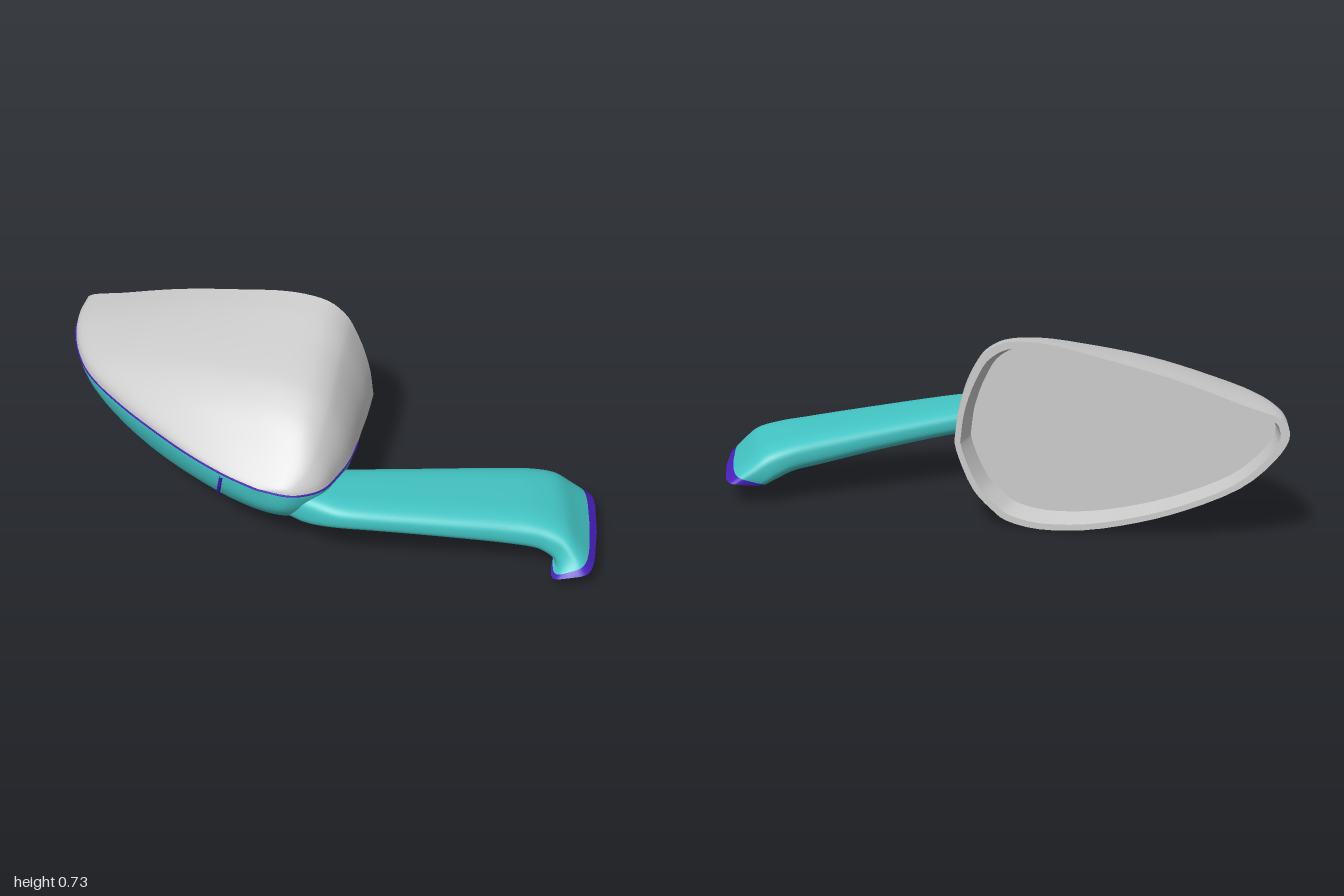
import * as THREE from 'three';
import { mergeVertices, mergeGeometries } from 'three/addons/utils/BufferGeometryUtils.js';

const V = (x, y, z = 0) => new THREE.Vector3(x, y, z);
const spline = (pts) => new THREE.CatmullRomCurve3(pts.map((p) => V(...p)));
const mat = (color) => new THREE.MeshStandardMaterial({ color, side: THREE.DoubleSide });
const GREY = mat(0xcccccc), TEAL = mat(0x43c4c4), PURPLE = mat(0x4a1fc0);

// smooth skin over rows x cols points; fn(i/rows, j/cols) returns a Vector3
function skin(rows, cols, fn) {
  const pos = [], idx = [], w = cols + 1;
  for (let i = 0; i <= rows; i++)
    for (let j = 0; j <= cols; j++) pos.push(...fn(i / rows, j / cols).toArray());
  for (let i = 0; i < rows; i++)
    for (let j = 0; j < cols; j++) {
      const a = i * w + j, b = a + w;
      idx.push(a, b, a + 1, b, b + 1, a + 1);
    }
  const g = new THREE.BufferGeometry();
  g.setAttribute('position', new THREE.Float32BufferAttribute(pos, 3));
  g.setIndex(idx);
  return smooth(g);
}
function smooth(g) {
  g.deleteAttribute('normal');
  const m = mergeVertices(g, 1e-4);
  m.computeVertexNormals();
  return m;
}

// housing frame: u runs along the opening, d is depth in front of it
const seamY = (x) => 0.345 - 0.105 * x;
const toX = (u, d) => 0.17 + 0.916 * u - 0.402 * d;
const toZ = (u, d) => -0.17 + 0.402 * u + 0.916 * d;

// opening outline as (fraction of width, height from seam), above and below the seam
const above = spline([[0, 0], [0.018, 0.12], [0.14, 0.286], [0.34, 0.557], [0.54, 0.776], [0.74, 0.965],
  [0.84, 0.985], [0.9, 0.9], [0.945, 0.69], [0.985, 0.34], [1, 0]]);
const below = spline([[1, 0], [0.99, -0.14], [0.94, -0.54], [0.886, -0.75], [0.84, -0.878], [0.74, -0.98],
  [0.6, -1], [0.44, -0.928], [0.3, -0.806], [0.14, -0.583], [0.044, -0.306], [0.004, -0.1], [0, 0]]);

// stations from opening to nose: left u, right u, depth / height above, height below
const spans = spline([[-1.244, 0, 0], [-1.225, 0.02, 0.1], [-1.187, 0.035, 0.2], [-1.113, 0.055, 0.32],
  [-1.01, 0.067, 0.43], [-0.83, 0.061, 0.54], [-0.61, 0.043, 0.64], [-0.45, 0, 0.7],
  [-0.3, -0.06, 0.74], [-0.17, -0.17, 0.757]]);
const heights = spline([[0.384, 0.36], [0.368, 0.355], [0.345, 0.342], [0.315, 0.322], [0.28, 0.3],
  [0.215, 0.262], [0.125, 0.2], [0.065, 0.145], [0.025, 0.088], [0, 0]]);

// the outline grows rounder towards the nose
function shell(outline, s, t) {
  const p = outline.getPoint(t), w = spans.getPoint(s), h = heights.getPoint(s);
  const a = THREE.MathUtils.clamp(p.x, 0, 1), round = Math.sign(p.y) * 2 * Math.sqrt(a - a * a);
  const v = THREE.MathUtils.lerp(p.y, round, 0.5 * s);
  const u = w.x + (w.y - w.x) * p.x, x = toX(u, w.z);
  return V(x, seamY(x) + v * (p.y > 0 ? h.x : h.y), toZ(u, w.z));
}
// where the lower cover starts, from the right side round to the left tip
const edge = spline([[3, 0], [2.5, 0], [2, 0], [1.8, 0], [1.5, 0]]);
const coverStart = (t) => edge.getPoint(t).x / 9;

// opening ring, inset by a fraction and pushed in by depth
function ring(t, inset, depth) {
  const p = t < 0.5 ? above.getPoint(t * 2) : below.getPoint(t * 2 - 1);
  const u0 = -1.244 + 1.244 * p.x, y0 = seamY(toX(u0, 0)) + p.y * (p.y > 0 ? 0.384 : 0.36);
  const u = -0.5 + (u0 + 0.5) * (1 - inset), y = 0.36 + (y0 - 0.36) * (1 - inset * 1.5);
  return V(toX(u, depth), y, toZ(u, depth));
}

// arm stations: top x, top y, bottom x, bottom y, back z, front z, sweep of the front corner
const armStations = [[-0.3, 0.325, -0.3, 0.24, 0.24, 0.34, 0], [-0.12, 0.335, -0.12, 0.2, 0.27, 0.475, 0],
  [0.02, 0.325, 0.02, 0.21, 0.25, 0.53, 0], [0.35, 0.295, 0.35, 0.175, 0.215, 0.545, 0],
  [0.65, 0.265, 0.63, 0.132, 0.18, 0.553, 0], [0.75, 0.25, 0.74, 0.115, 0.168, 0.565, 0],
  [0.85, 0.22, 0.8, 0.092, 0.16, 0.59, 0.01], [0.92, 0.165, 0.825, 0.085, 0.163, 0.622, 0.03],
  [1, 0.1, 0.84, 0.08, 0.175, 0.662, 0.07]];
const armTop = spline(armStations.map((a) => [a[0], a[1], a[6]]));
const armBottom = spline(armStations.map((a) => [a[2], a[3]]));
const armWidth = spline(armStations.map((a) => [a[4], a[5]]));
const sq = (v, e) => Math.sign(v) * Math.abs(v) ** e;

// superellipse section, squarer towards the foot; k below 1 insets it
function armPoint(s, t, k = 1) {
  const a = t * Math.PI * 2, top = armTop.getPoint(s), bot = armBottom.getPoint(s), w = armWidth.getPoint(s);
  const square = 0.35 * s ** 4;
  const f = 0.5 + 0.5 * k * sq(Math.cos(a), 0.6 - square);
  const g = 0.5 + 0.5 * k * sq(Math.sin(a), 0.75 - square);
  return V(bot.x + (top.x - bot.x) * g - top.z * f * f, bot.y + (top.y - bot.y) * g, w.x + (w.y - w.x) * f);
}

export function createModel() {
  const model = new THREE.Group();
  const add = (name, geometry, material) => {
    const m = new THREE.Mesh(geometry, material);
    m.name = name;
    model.add(m);
    return m;
  };
  const trim = (name, pts, r) =>
    add(name, new THREE.TubeGeometry(new THREE.CatmullRomCurve3(pts), 80, r, 6), PURPLE);

  // grey housing: upper shell and the band below the seam
  add('housing', smooth(mergeGeometries([
    skin(36, 36, (s, t) => shell(above, s, t)),
    skin(12, 36, (s, t) => shell(below, s * coverStart(t), t)),
  ])), GREY);

  // lower cover in front of the band
  const cover = add('lowerCover', skin(30, 36, (s, t) => {
    const c = coverStart(t);
    return shell(below, c + s * (1 - c), t);
  }), TEAL);

  // opening: lip, recess wall and mirror glass
  add('lip', skin(1, 72, (s, t) => ring(t, 0.045 * (1 - s), 0)), GREY);
  add('recessWall', skin(2, 72, (s, t) => ring(t, 0.08 - 0.035 * s, 0.1 * (1 - s))), GREY);
  add('mirrorGlass', skin(1, 72, (s, t) => ring(t, s ? 0.08 : 0.66, 0.1)), GREY);
  add('mirrorGlassCentre', skin(1, 72, (s, t) => {
    const p = ring(t, 0.66, 0.1);
    return s ? p : V(toX(-0.5, 0.1), 0.36, toZ(-0.5, 0.1));
  }), GREY);

  // dark joints along the seam, the cover edge and the arm base
  const seam = [], back = [];
  for (let i = 0; i <= 16; i++) seam.push(shell(above, 1 / 6 + (i / 16) * (5 / 6), 0));
  for (let i = 15; i >= 0; i--) seam.push(shell(above, 1 / 3 + (i / 16) * (2 / 3), 1));
  for (let i = 0; i <= 24; i++) back.push(shell(below, coverStart(i / 24), i / 24));
  trim('seamJoint', seam, 0.004);
  trim('coverEdgeJoint', back, 0.004);
  const ray = new THREE.Raycaster(), baseLine = [];
  for (const [x, y] of [[-0.42, 0.375], [-0.43, 0.3], [-0.435, 0.2], [-0.42, 0.14], [-0.38, 0.09],
    [-0.3, 0.055], [-0.2, 0.04]]) {
    ray.set(V(x, y, 2), V(0, 0, -1));
    baseLine.push(...ray.intersectObject(cover).slice(0, 1).map((hit) => hit.point));
  }
  trim('armBaseJoint', baseLine, 0.008);

  // arm with its flared foot, open underneath
  add('arm', skin(40, 48, (s, t) => armPoint(s * 0.95, t)), TEAL);
  add('footEdge', skin(4, 48, (s, t) => armPoint(0.95 + 0.05 * s, t)), PURPLE);
  add('footRim', skin(1, 48, (s, t) => armPoint(1, t, 1 - 0.16 * s)), PURPLE);
  add('footRecess', skin(2, 48, (s, t) => armPoint(1 - 0.08 * s, t, 0.84)), TEAL);
  add('footRecessFloor', skin(1, 48, (s, t) => armPoint(0.92, t, 0.84 * (1 - s))), TEAL);
  return model;
}
